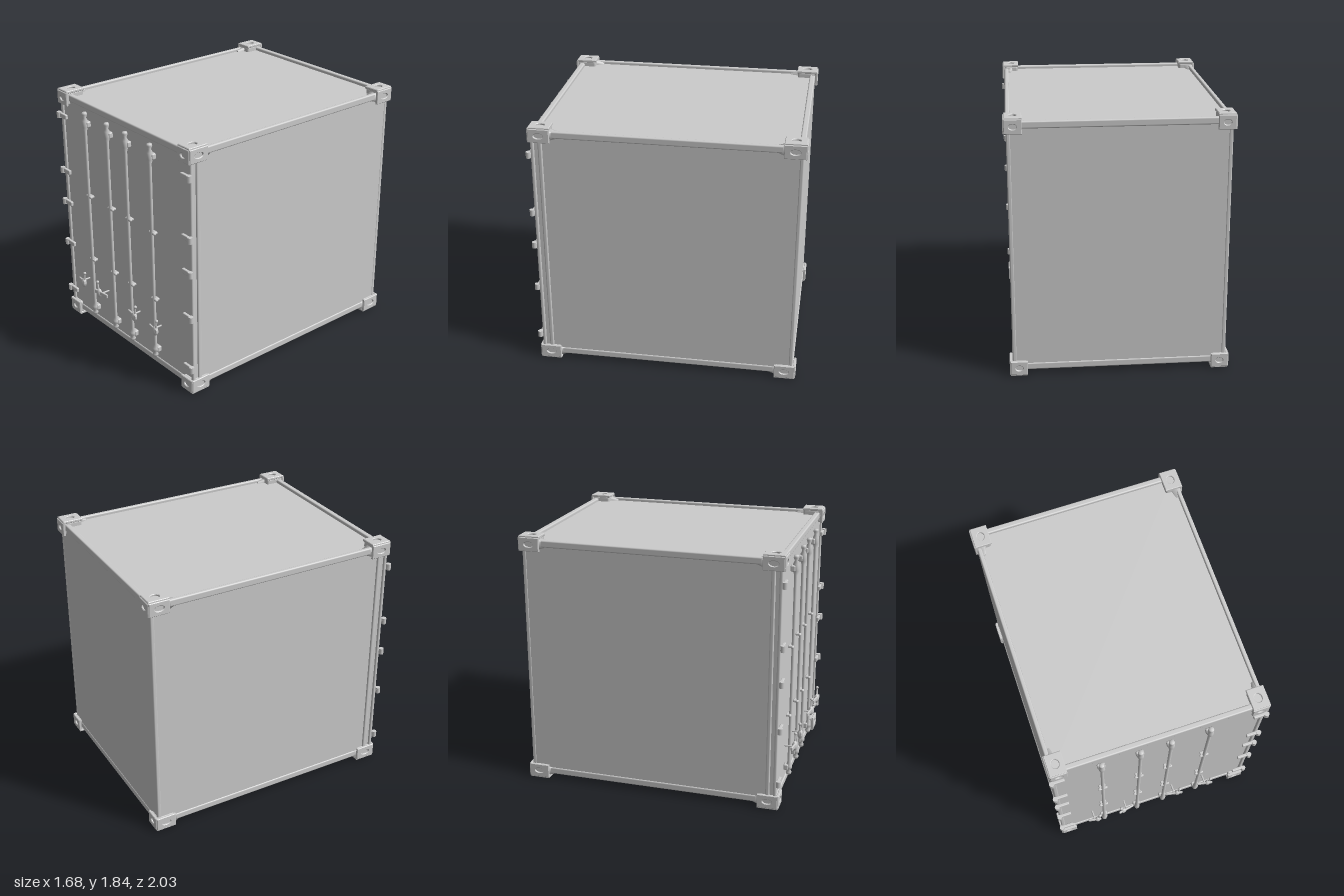
import * as THREE from 'three';
import { RoundedBoxGeometry } from 'three/addons/geometries/RoundedBoxGeometry.js';

const metal = new THREE.MeshStandardMaterial({ color: 0xcccccc });
const sheet = new THREE.MeshStandardMaterial({ color: 0xcccccc, side: THREE.DoubleSide });

// Main dimensions of the container
const X = 0.74, FRONT = 0.885, BACK = -0.93, BOTTOM = 0.05, TOP = 1.785;
const MID_Z = (FRONT + BACK) / 2, LEN = FRONT - BACK;
const MID_Y = (BOTTOM + TOP) / 2, HEIGHT = TOP - BOTTOM;

function add(parent, name, geometry, x, y, z, material = metal) {
  const mesh = new THREE.Mesh(geometry, material);
  mesh.name = name;
  mesh.position.set(x, y, z);
  parent.add(mesh);
  return mesh;
}

const block = (w, h, d, r = 0.01) => new RoundedBoxGeometry(w, h, d, 2, r);

// Flat plate with an oval hole, facing +z
function holedPlate(w, h) {
  const s = new THREE.Shape();
  s.moveTo(-w / 2, -h / 2);
  s.lineTo(w / 2, -h / 2);
  s.lineTo(w / 2, h / 2);
  s.lineTo(-w / 2, h / 2);
  s.closePath();
  const hole = new THREE.Path();
  hole.absellipse(0, 0, w * 0.27, h * 0.25, 0, Math.PI * 2, true);
  s.holes.push(hole);
  return new THREE.ExtrudeGeometry(s, {
    depth: 0.012, bevelEnabled: true, bevelSize: 0.004, bevelThickness: 0.004, bevelSegments: 1, curveSegments: 12
  });
}

// Corner casting with holes on its three outer faces
function cornerCasting(sx, sy, sz) {
  const g = new THREE.Group();
  g.name = 'cornerCasting';
  add(g, 'castingCore', block(0.11, 0.095, 0.14, 0.015), 0, 0, 0);
  const cap = add(g, 'castingCap', holedPlate(0.11, 0.14), 0, sy * 0.044, 0);
  cap.rotation.x = -sy * Math.PI / 2;
  const side = add(g, 'castingSide', holedPlate(0.14, 0.09), sx * 0.05, 0, 0);
  side.rotation.y = sx * Math.PI / 2;
  const end = add(g, 'castingEnd', holedPlate(0.11, 0.09), 0, 0, sz * 0.065);
  if (sz < 0) end.rotation.y = Math.PI;
  // Tapered web running inward along the side rail
  const web = add(g, 'castingWeb', new THREE.CylinderGeometry(0.025, 0.05, 0.07, 4), sx * 0.02, 0, -sz * 0.09);
  web.rotation.set(-sz * Math.PI / 2, Math.PI / 4, 0, 'XYZ');
  g.position.set(sx * 0.698, sy > 0 ? 1.777 : 0.062, sz > 0 ? 0.838 : -0.875);
  return g;
}

// Locking rod: turned profile with collars and rounded ends
function lockRod(x) {
  const g = new THREE.Group();
  g.name = 'lockRod';
  const r = 0.012;
  const profile = [
    [0, 0.11], [0.018, 0.125], [0.02, 0.14], [0.011, 0.155], [0.023, 0.17], [0.023, 0.19], [r, 0.22],
    [r, 1.61], [0.022, 1.64], [0.022, 1.69], [0.011, 1.71], [0.02, 1.735], [0.016, 1.75], [0, 1.75]
  ].map(([a, b]) => new THREE.Vector2(a, b));
  add(g, 'rod', new THREE.LatheGeometry(profile, 12), 0, 0, 0);
  for (const y of [0.18, 1.66]) add(g, 'rodBracket', block(0.055, 0.045, 0.035), 0, y, -0.018);
  for (const y of [0.585, 1.1]) {
    add(g, 'rodGuide', block(0.05, 0.018, 0.04, 0.006), 0, y, -0.012);
    for (const s of [-1, 1]) add(g, 'guideBolt', new THREE.SphereGeometry(0.011, 8, 6), s * 0.024, y, -0.002);
  }
  g.position.set(x, 0, 0.92);
  return g;
}

// Door handle: flat lever, pivot and upright catch with a knob
function doorHandle(x, dir, size) {
  const g = new THREE.Group();
  g.name = 'doorHandle';
  const lever = add(g, 'lever', block(0.11 * size, 0.032, 0.014, 0.006), 0, 0, 0);
  lever.rotation.set(0, -dir * 0.2, dir * 0.08);
  const hub = add(g, 'hub', new THREE.SphereGeometry(0.024, 10, 8), dir * 0.025, -0.005, 0);
  hub.scale.set(1, 1.5, 0.8);
  const catchBar = add(g, 'catchBar', new THREE.CylinderGeometry(0.006, 0.008, 0.09, 6), dir * 0.035, 0.035, 0);
  catchBar.rotation.z = -dir * 0.15;
  add(g, 'knob', new THREE.SphereGeometry(0.012, 8, 6), dir * 0.042, 0.08, 0);
  add(g, 'pin', new THREE.CylinderGeometry(0.007, 0.007, 0.07, 6), 0, 0, -0.035).rotation.x = Math.PI / 2;
  g.position.set(x, 0.385, 0.968);
  return g;
}

export function createModel() {
  const model = new THREE.Group();
  model.name = 'shippingContainer';
  const body = new THREE.Group();
  body.name = 'containerBody';
  body.rotation.y = 0.077;
  model.add(body);

  // Sheet panels: walls, doors and roof
  const wall = new THREE.PlaneGeometry(LEN, HEIGHT);
  const end = new THREE.PlaneGeometry(X * 2, HEIGHT);
  for (const s of [-1, 1]) add(body, 'sideWall', wall, s * X, MID_Y, MID_Z, sheet).rotation.y = s * Math.PI / 2;
  add(body, 'backWall', end, 0, MID_Y, BACK, sheet).rotation.y = Math.PI;
  add(body, 'doorPanel', end, 0, MID_Y, FRONT, sheet);
  const roof = add(body, 'roof', new THREE.PlaneGeometry(X * 2, LEN), 0, TOP, MID_Z, sheet);
  roof.rotation.x = -Math.PI / 2;

  // Floor covers only the front half
  const floor = add(body, 'floor', new THREE.PlaneGeometry(X * 2, LEN / 2), 0, BOTTOM, FRONT - LEN / 4, sheet);
  floor.rotation.x = Math.PI / 2;

  // Rails along the edges and posts at the corners
  for (const y of [0.065, 1.783]) {
    for (const s of [-1, 1]) add(body, 'sideRail', block(0.03, 0.05, LEN), s * 0.731, y, MID_Z);
    add(body, 'backRail', block(X * 2, 0.05, 0.04), 0, y, BACK + 0.015);
    add(body, 'frontRail', block(X * 2, 0.05, 0.04), 0, y, FRONT - 0.012);
  }
  for (const s of [-1, 1]) {
    add(body, 'backPost', block(0.03, HEIGHT, 0.03), s * 0.728, MID_Y, BACK + 0.012);
    add(body, 'frontPost', block(0.04, HEIGHT, 0.03), s * 0.732, MID_Y, 0.835);
    add(body, 'doorEdge', block(0.03, HEIGHT, 0.025), s * 0.739, MID_Y, 0.888);
  }

  // Castings on all eight corners
  for (const sx of [-1, 1]) for (const sy of [-1, 1]) for (const sz of [-1, 1]) body.add(cornerCasting(sx, sy, sz));

  // Door hinges
  for (const s of [-1, 1]) {
    for (const y of [0.205, 0.605, 0.945, 1.2, 1.635]) {
      add(body, 'hingeLeaf', block(0.1, 0.035, 0.022, 0.006), s * 0.715, y, 0.908);
      add(body, 'hingeBarrel', new THREE.CylinderGeometry(0.018, 0.018, 0.045, 10), s * 0.755, y, 0.915);
    }
  }

  // Locking gear on the doors
  for (const x of [-0.41, -0.14, 0.075, 0.35]) body.add(lockRod(x));
  body.add(doorHandle(-0.5, 1, 0.9), doorHandle(-0.245, -1, 1.15), doorHandle(0.145, 1, 1.2), doorHandle(0.395, 1, 1.1));

  return model;
}
